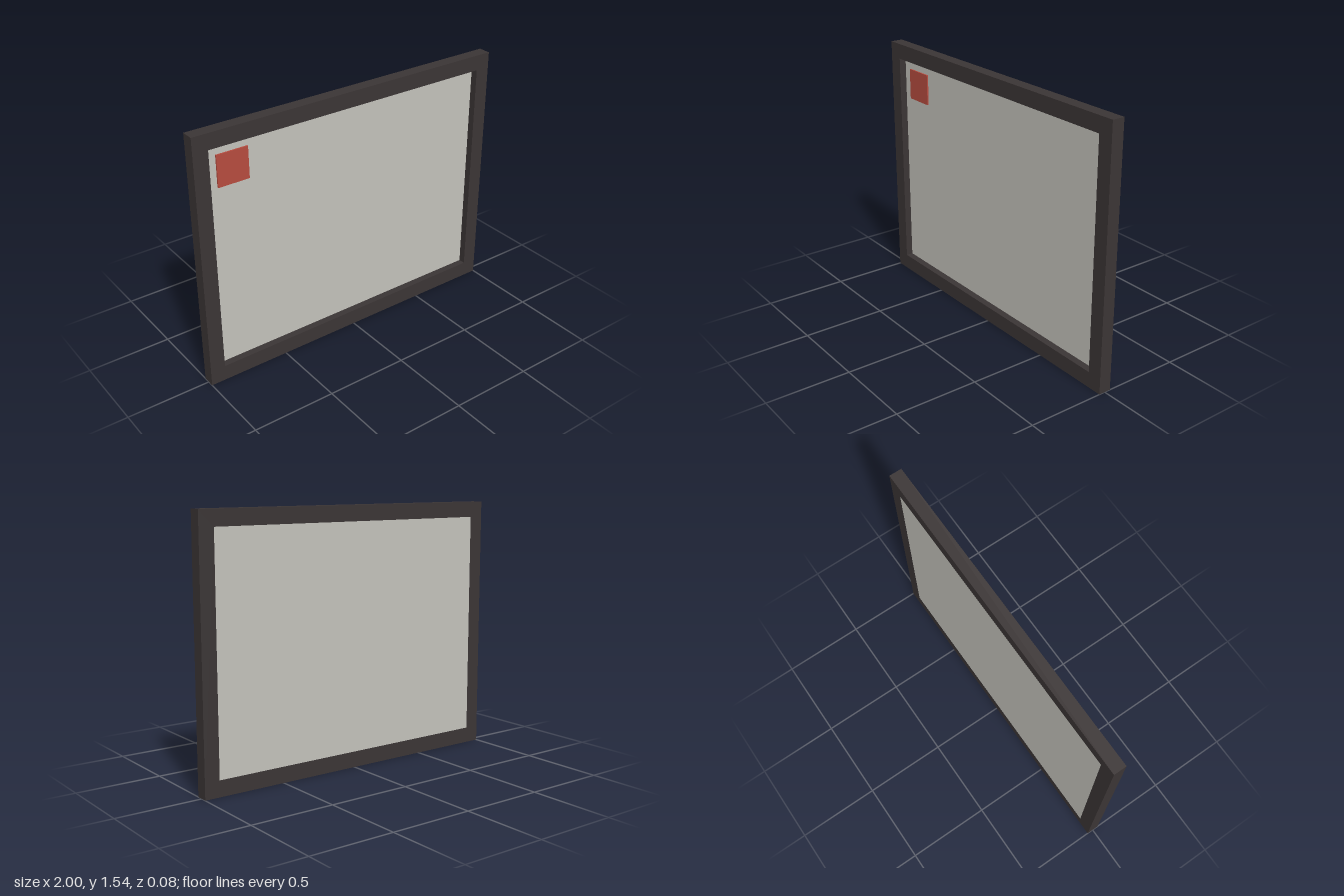
import * as THREE from 'three';

const W = 2, H = 1.54, D = 0.076; // outer size of the frame
const OX = 0.91, OY0 = 0.095, OY1 = 1.447; // opening

function material(name, color) {
  const m = new THREE.MeshStandardMaterial({ color });
  m.name = name;
  return m;
}

export function createModel() {
  const group = new THREE.Group();
  group.name = 'framedBoard';
  const dark = material('darkFrame', 0x3b3535);
  const grey = material('boardGrey', 0xc4c3bc);
  const red = material('noteRed', 0xb74c3f);

  const add = (name, geometry, mat) => {
    const mesh = new THREE.Mesh(geometry, mat);
    mesh.name = name;
    group.add(mesh);
    return mesh;
  };
  const box = (name, x0, x1, y0, y1, z0, z1, mat) =>
    add(name, new THREE.BoxGeometry(x1 - x0, y1 - y0, z1 - z0), mat)
      .position.set((x0 + x1) / 2, (y0 + y1) / 2, (z0 + z1) / 2);

  // Rectangular frame with an opening
  const outline = new THREE.Shape([[-W / 2, 0], [W / 2, 0], [W / 2, H], [-W / 2, H]]
    .map(([x, y]) => new THREE.Vector2(x, y)));
  outline.holes.push(new THREE.Path([[-OX, OY0], [-OX, OY1], [OX, OY1], [OX, OY0]]
    .map(([x, y]) => new THREE.Vector2(x, y))));
  const frame = new THREE.ExtrudeGeometry(outline, { depth: D, bevelEnabled: false });
  frame.translate(0, 0, -D / 2);
  add('frame', frame, dark);

  // Board flush with the back, recessed at the front
  const boardFront = -0.005;
  box('board', -OX, OX, OY0, OY1, -D / 2, boardFront, grey);

  // Square note in the upper corner
  box('squareNote', -0.85, -0.66, 1.2, 1.388, boardFront, boardFront + 0.009, red);

  return group;
}
